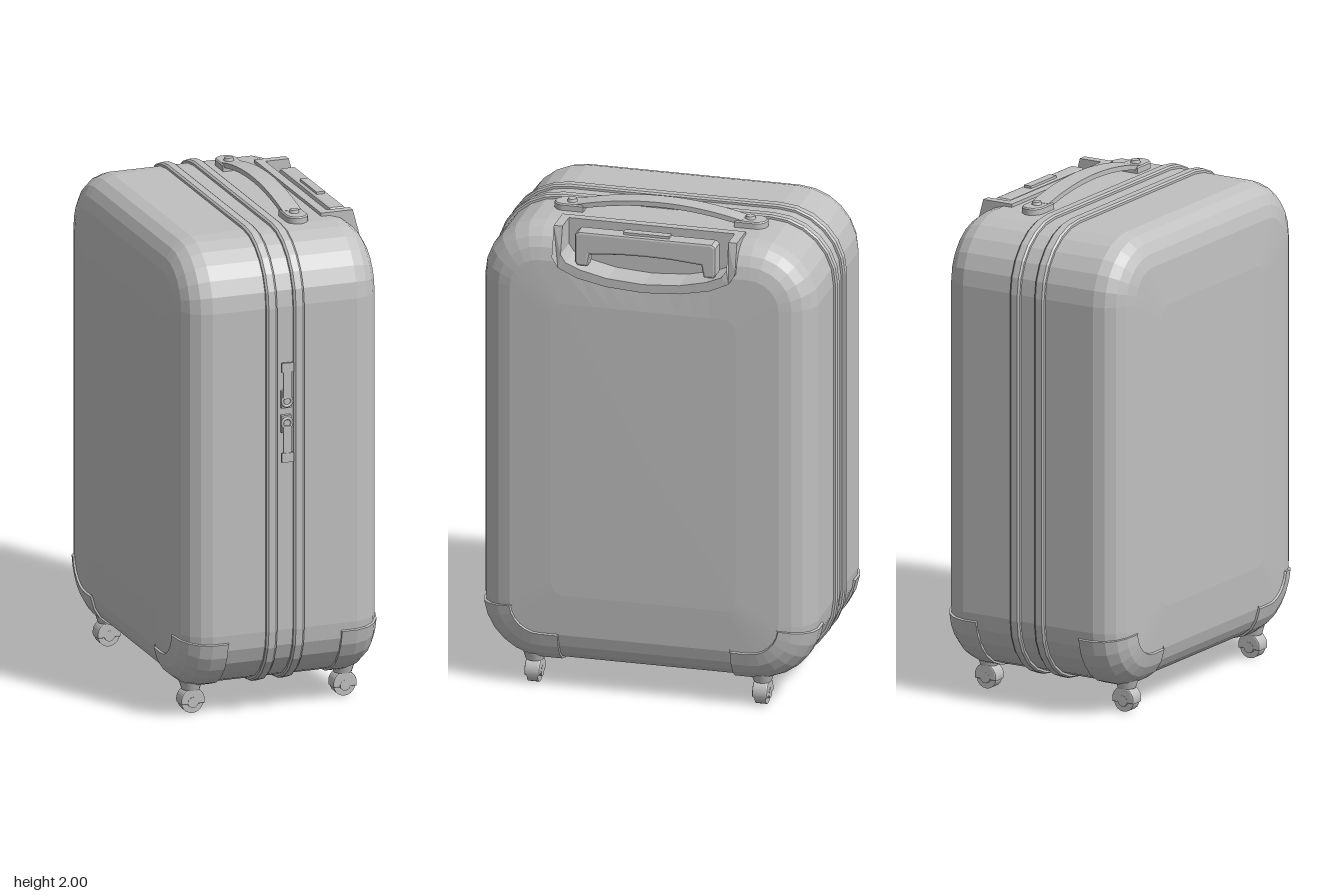
import * as THREE from 'three';

const ZC = -0.0125, YC = 1.02;              // centre of the shell
const HZ = 0.6725, HY = 0.91, R = 0.25;     // half sizes and corner radius
const NOTCH = 0.83;                         // half width of the handle pocket, as a share of the straight top edge
const flatGrey = new THREE.MeshStandardMaterial({ color: 0xc0c0c0 });
flatGrey.name = 'silver grey';

// Loop point: a, b = share of the straight edges, angle = outward direction
const P = (a, b, angle) => ({ a, b, u: Math.cos(angle), v: Math.sin(angle) });
function loopPoint(p, x, inset) {
  const r = Math.max(0.05, R - inset);
  return [x, YC + p.b * (HY - inset - r) + r * p.v, ZC + p.a * (HZ - inset - r) + r * p.u];
}

// Rounded rectangle in the zy plane, with extra points across the pocket
const loop = [];
const STEPS = 6;
[[1, 1], [-1, 1], [-1, -1], [1, -1]].forEach(([a, b], q) => {
  for (let k = 0; k <= STEPS; k++) loop.push(P(a, b, (q + k / STEPS) * Math.PI / 2));
  if (q === 0) for (let k = 4; k >= -4; k--) loop.push(P(NOTCH * k / 4, 1, Math.PI / 2));
});
const isNotch = (j) => j >= STEPS + 1 && j <= STEPS + 9;

// Faceted surface from a grid of points
function grid(rows, cols, point, { wrap = false, flip = false, keep = () => true } = {}) {
  const pos = [];
  for (let i = 0; i < rows - 1; i++) {
    for (let j = 0; j < (wrap ? cols : cols - 1); j++) {
      if (!keep(i, j)) continue;
      const n = (j + 1) % cols;
      const a = point(i, j), b = point(i + 1, j), c = point(i + 1, n), d = point(i, n);
      const tris = flip ? [a, c, b, a, d, c] : [a, b, c, a, c, d];
      tris.forEach((p) => pos.push(...p));
    }
  }
  const g = new THREE.BufferGeometry();
  g.setAttribute('position', new THREE.Float32BufferAttribute(pos, 3));
  g.computeVertexNormals();
  return g;
}

// Extrude a shape drawn in (z, y) along x
function extrudeX(points, x0, x1, bevel = 0) {
  const shape = new THREE.Shape(points.map(([z, y]) => new THREE.Vector2(z, y)));
  const g = new THREE.ExtrudeGeometry(shape, {
    depth: x1 - x0 - 2 * bevel, bevelEnabled: bevel > 0,
    bevelSize: bevel, bevelThickness: bevel, bevelOffset: -bevel, bevelSegments: 2,
  });
  return g.rotateY(Math.PI / 2).translate(x0 + bevel, 0, ZC);
}
const mirrored = (half) => [...half, ...half.slice().reverse().filter(([z]) => z > 0).map(([z, y]) => [-z, y])];

export function createModel() {
  const root = new THREE.Group();
  root.name = 'suitcase';
  const add = (name, geometry, parent = root) => {
    const m = new THREE.Mesh(geometry, flatGrey);
    m.name = name;
    parent.add(m);
    return m;
  };

  // Shell: rounded loops along x, open where the handle pocket sits
  const side = [[0.30, 0], [0.345, 0.014], [0.38, 0.042], [0.403, 0.08], [0.417, 0.13], [0.428, 0.3]];
  const stations = [
    [-0.43, null], ...side.slice().reverse().map(([x, d]) => [-x, d]),
    ...side, [0.43, null],
  ];
  const rim = stations.length - 3;
  const first = stations.length - 1 - side.length;
  add('shell', grid(stations.length, loop.length, (i, j) => {
    const [x, d] = stations[i];
    if (d === null) return [x, YC, ZC];
    const p = loopPoint(loop[j], x, d);
    if (i === rim && isNotch(j)) p[1] = 1.725 + 0.075 * (loop[j].a / NOTCH) ** 2;
    return p;
  }, {
    wrap: true,
    keep: (i, j) => !(i >= first && i < rim && isNotch(j) && isNotch(j + 1)),
  }));

  // Two raised bands beside the zip
  for (const [x0, x1] of [[-0.081, -0.036], [0.032, 0.077]]) {
    const prof = [[x0, 0.01], [x0, -0.009], [x0 + 0.008, -0.015], [x1 - 0.008, -0.015], [x1, -0.009], [x1, 0.01]];
    add('band', grid(prof.length, loop.length, (i, j) => loopPoint(loop[j], ...prof[i]), { wrap: true }));
  }

  // Bottom corner guards
  const arc = [P(0.82, -1, -Math.PI / 2), P(0.825, -1, -Math.PI / 2)];
  for (let k = 0; k <= STEPS; k++) arc.push(P(1, -1, -Math.PI / 2 + (k / STEPS) * 1.44));
  arc.push(P(1, -1, -0.125));
  const guardSide = [[0.235, 0.01], [0.237, -0.008], [0.302, -0.008], [0.349, 0.006], [0.386, 0.036],
    [0.41, 0.075], [0.425, 0.128], [0.41, 0.135]];
  for (const sx of [-1, 1]) {
    for (const sz of [-1, 1]) {
      add('cornerGuard', grid(guardSide.length, arc.length, (i, j) => {
        const [x, d] = guardSide[i];
        const edge = j === 0 || j === arc.length - 1 ? 0.012 : 0;
        const p = loopPoint(arc[j], x - edge / 2, d + edge);
        return [sx * p[0], p[1], ZC + sz * (p[2] - ZC)];
      }, { flip: sx * sz < 0 }));

      // Caster: collar, hood, wheel and hubs
      const caster = new THREE.Group();
      caster.name = 'caster';
      caster.position.set(sx * 0.317, 0, -0.005 + sz * 0.46);
      root.add(caster);
      add('collar', new THREE.CylinderGeometry(0.047, 0.036, 0.035, 16).translate(0, 0.112, 0), caster);
      add('stem', new THREE.CylinderGeometry(0.03, 0.03, 0.03, 12).translate(0, 0.09, 0), caster);
      add('wheel', new THREE.CylinderGeometry(0.045, 0.045, 0.044, 20).rotateX(Math.PI / 2).translate(0, 0.045, 0), caster);
      add('hub', new THREE.CylinderGeometry(0.022, 0.022, 0.064, 14).rotateX(Math.PI / 2).translate(0, 0.045, 0), caster);
      const hoodShape = new THREE.Shape();
      hoodShape.absarc(0, 0.05, 0.05, -0.3, Math.PI + 0.3, false);
      const hood = new THREE.ExtrudeGeometry(hoodShape, {
        depth: 0.05, bevelEnabled: true, bevelSize: 0.006, bevelThickness: 0.006, bevelOffset: -0.006, bevelSegments: 2, curveSegments: 10,
      });
      add('hood', hood.translate(0, 0.002, -0.025), caster);
    }
  }

  // Pocket frame: U-shaped wall with a back plate
  const outer = mirrored([[0.37, 1.943], [0.37, 1.82], [0.345, 1.78], [0.27, 1.745], [0.15, 1.72], [0, 1.71]]);
  const inner = mirrored([[0.335, 1.943], [0.335, 1.835], [0.315, 1.805], [0.255, 1.78], [0.145, 1.755], [0, 1.745]]);
  const wall = extrudeX([...outer, ...inner.slice().reverse()], 0.28, 0.43);
  const wp = wall.attributes.position;
  for (let i = 0; i < wp.count; i++) {
    if (wp.getX(i) > 0.4) wp.setX(i, 0.43 - Math.max(0, wp.getY(i) - 1.82) * 0.27);
  }
  wall.computeVertexNormals();
  add('pocketFrame', wall);
  add('pocketBack', extrudeX(outer, 0.265, 0.3));

  // Telescopic grip resting in the pocket
  add('pullHandle', extrudeX(mirrored([[0.27, 1.928], [0.285, 1.915], [0.285, 1.80], [0.275, 1.785],
    [0.235, 1.785], [0.225, 1.835], [0.1, 1.845], [0, 1.847]]), 0.335, 0.402, 0.01));
  add('releaseButton', new THREE.BoxGeometry(0.034, 0.02, 0.185).translate(0.368, 1.928, ZC));

  // Carry handle on top: arched strap, end pads and rivets
  const top = [], under = [];
  for (let k = -8; k <= 8; k++) {
    const z = 0.335 * k / 8, y = 1.958 + 0.042 * (1 - (k / 8) ** 2);
    top.push([z, y]);
    under.unshift([z, y - 0.02]);
  }
  add('carryStrap', extrudeX([...top, ...under], 0.118, 0.194));
  for (const s of [0, 1]) {
    const pad = new THREE.Shape();
    pad.moveTo(-0.044, 0.305);
    pad.lineTo(0.044, 0.305);
    pad.lineTo(0.044, 0.386);
    pad.absarc(0, 0.386, 0.044, 0, Math.PI, false);
    const g = new THREE.ExtrudeGeometry(pad, {
      depth: 0.03, bevelEnabled: true, bevelSize: 0.005, bevelThickness: 0.005, bevelOffset: -0.005, bevelSegments: 1,
    });
    g.rotateX(-Math.PI / 2).rotateY(s * Math.PI).translate(0.156, 1.922, ZC);
    add('strapPad', g);
    add('rivet', new THREE.CylinderGeometry(0.017, 0.021, 0.014, 16)
      .translate(0.156, 1.962, ZC + (s ? 0.36 : -0.36)));
  }

  // Pair of zip pulls on the front
  for (const s of [-1, 1]) {
    const y = 1.255;
    add('zipSlider', new THREE.BoxGeometry(0.04, 0.07, 0.02).translate(0, y + s * 0.05, 0.667));
    add('zipRing', new THREE.TorusGeometry(0.02, 0.006, 8, 16).translate(0, y + s * 0.045, 0.682));
    add('zipTab', new THREE.BoxGeometry(0.032, 0.12, 0.007).translate(0, y + s * 0.115, 0.684));
    add('zipTabEnd', new THREE.BoxGeometry(0.05, 0.038, 0.011).translate(0, y + s * 0.184, 0.684));
  }
  return root;
}
